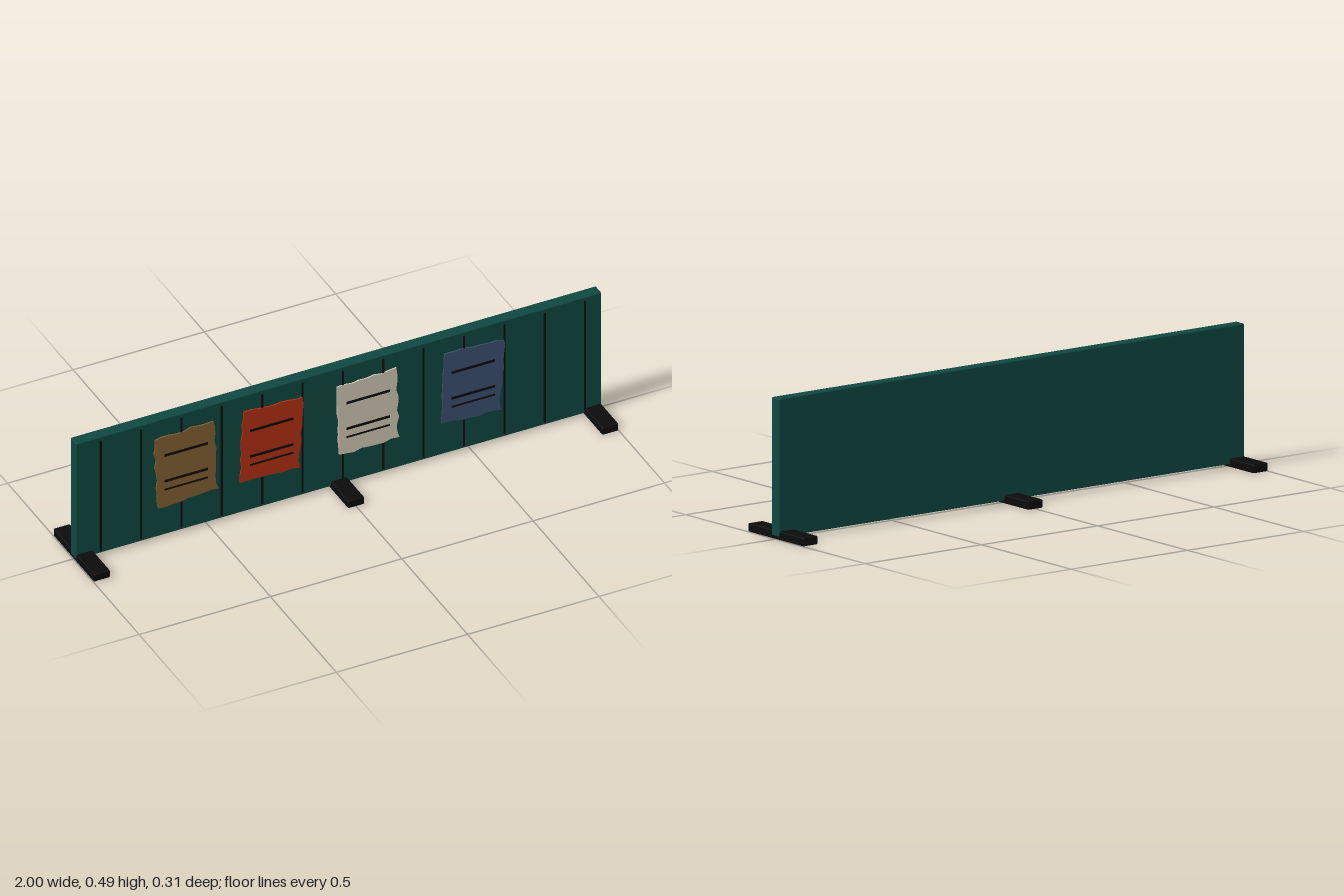
import * as THREE from 'three';
import { RoundedBoxGeometry } from 'three/addons/geometries/RoundedBoxGeometry.js';

function material(name, color) {
  const m = new THREE.MeshStandardMaterial({ color });
  m.name = name;
  return m;
}

// Paper sheet with slightly torn edges
function paperGeometry(width, height, seed) {
  let s = seed;
  const jitter = () => {
    s = (s * 16807) % 2147483647;
    return (s / 2147483647 - 0.5) * 0.01;
  };
  const w = width / 2, h = height / 2;
  const corners = [[-w, -h], [w, -h], [w, h], [-w, h]];
  const points = [];
  corners.forEach(([x, y], i) => {
    const [nx, ny] = corners[(i + 1) % 4];
    const steps = i % 2 ? 10 : 8;
    for (let k = 0; k < steps; k++) {
      const t = k / steps;
      const across = jitter();
      points.push(new THREE.Vector2(
        x + (nx - x) * t + (i % 2 ? across : 0),
        y + (ny - y) * t + (i % 2 ? 0 : across)));
    }
  });
  return new THREE.ExtrudeGeometry(new THREE.Shape(points), { depth: 0.005, bevelEnabled: false });
}

export function createModel() {
  const group = new THREE.Group();
  const green = material('dark green paint', 0x0f4740);
  const black = material('black', 0x0b0b0c);

  const add = (name, geometry, mat, x, y, z) => {
    const mesh = new THREE.Mesh(geometry, mat);
    mesh.name = name;
    mesh.position.set(x, y, z);
    group.add(mesh);
    return mesh;
  };

  // Hoarding panel
  add('panel', new RoundedBoxGeometry(2, 0.482, 0.044, 2, 0.004), green, 0, 0.251, 0);

  // Feet across the bottom
  const foot = new RoundedBoxGeometry(0.062, 0.03, 0.308, 2, 0.004);
  for (const x of [-0.968, 0, 0.968]) add('foot', foot, black, x, 0.015, 0);

  // Board seams on the front
  const seam = new THREE.BoxGeometry(0.006, 0.455, 0.006);
  for (let i = 0; i < 13; i++) add('seam', seam, black, -0.908 + i * 0.1537, 0.2495, 0.0235);

  // Posters: centre x, tilt, colour
  const posters = [
    [-0.585, 0.055, material('brown paper', 0x80602f)],
    [-0.259, -0.045, material('red paper', 0xb03012)],
    [0.108, 0.03, material('cream paper', 0xd0c8b5)],
    [0.508, -0.055, material('blue paper', 0x3b4f6e)],
  ];
  // Printed bars: height, thickness
  const bars = [[0.343, 0.009], [0.236, 0.009], [0.201, 0.006]];
  posters.forEach(([x, tilt, mat], i) => {
    add('poster', paperGeometry(0.226, 0.288, 1234567 * (i + 1)), mat, x, 0.278, 0.0225).rotation.z = tilt;
    for (const [y, t] of bars) {
      add('printedBar', new THREE.BoxGeometry(0.165, t, 0.003), black, x, y, 0.0285);
    }
  });

  return group;
}
